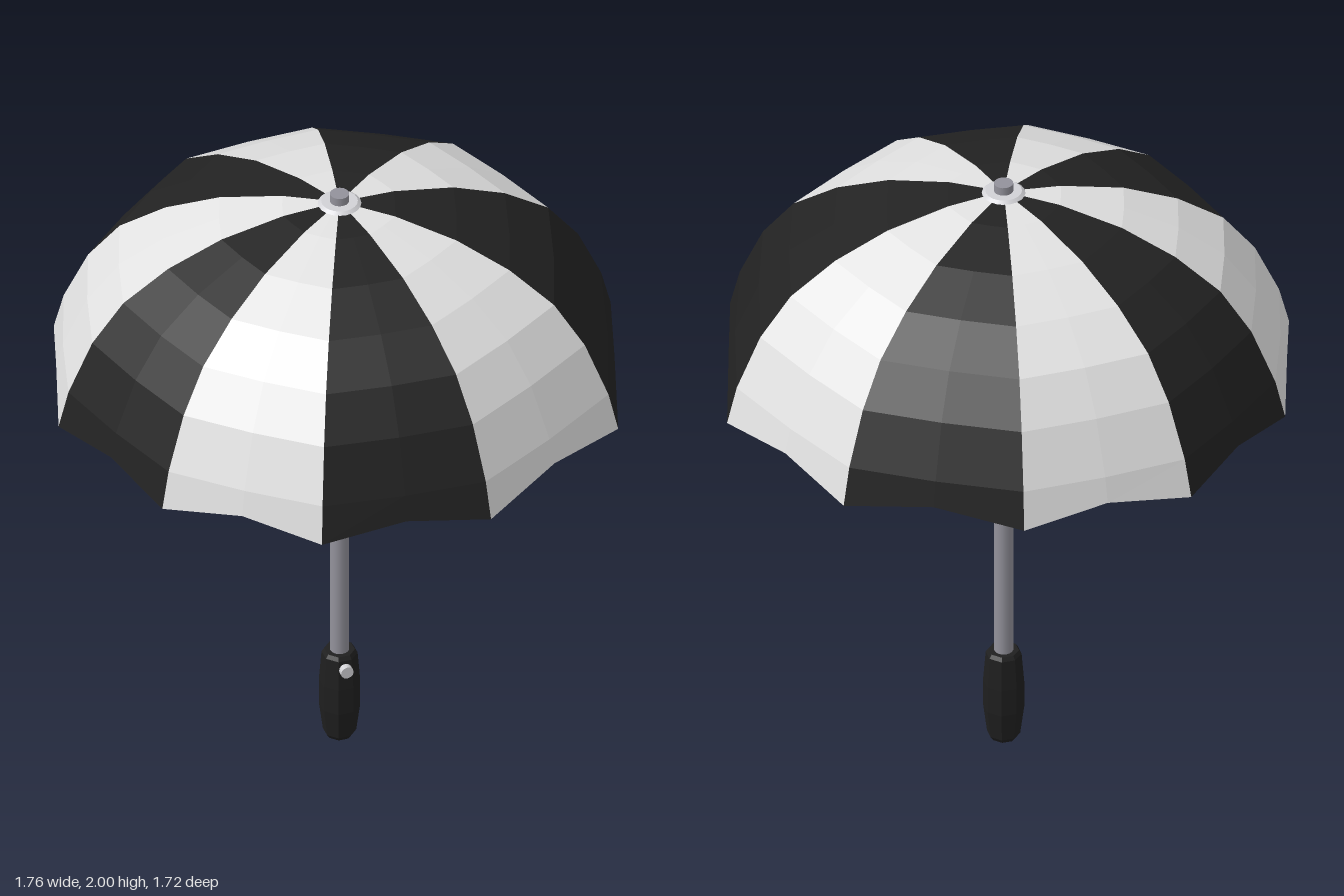
import * as THREE from 'three';

const mat = (name, color, opts = {}) => {
  const m = new THREE.MeshStandardMaterial({ color, ...opts });
  m.name = name;
  return m;
};

// Rim corners (x, z), one per rib, clockwise seen from above
const RIM = [
  [-0.34, -0.83], [0.19, -0.86], [0.67, -0.58], [0.88, -0.06], [0.69, 0.55],
  [0.18, 0.855], [-0.34, 0.81], [-0.73, 0.48], [-0.885, -0.015], [-0.73, -0.5],
];

// Rib profile: radius as a share of the rim radius, height
const PROFILE = [
  [0.07, 1.965], [0.2, 1.957], [0.42, 1.915], [0.61, 1.845],
  [0.77, 1.75], [0.88, 1.625], [0.965, 1.46], [1, 1.34],
];

// One fabric panel between two ribs, two strips wide, with an arched hem
function panelGeometry(a, b) {
  const mid = [(a[0] + b[0]) / 2, (a[1] + b[1]) / 2];
  const last = PROFILE.length - 1;
  const point = (col, row) => {
    const [s, y] = PROFILE[row];
    const p = [a, mid, b][col];
    const hem = col === 1 && row === last;
    const k = col === 1 && !hem ? s * 1.012 : s;
    return [p[0] * k, hem ? y + 0.04 : y, p[1] * k];
  };
  const pos = [];
  for (let c = 0; c < 2; c++) {
    for (let r = 0; r < last; r++) {
      const p = point(c, r), q = point(c + 1, r);
      const s = point(c + 1, r + 1), t = point(c, r + 1);
      pos.push(...p, ...q, ...s, ...p, ...s, ...t);
    }
  }
  const g = new THREE.BufferGeometry();
  g.setAttribute('position', new THREE.Float32BufferAttribute(pos, 3));
  g.computeVertexNormals();
  return g;
}

export function createModel() {
  const model = new THREE.Group();
  model.name = 'umbrella';

  const fabric = { flatShading: true, side: THREE.DoubleSide };
  const white = mat('white fabric', 0xe2e2e2, fabric);
  const black = mat('black fabric', 0x222222, fabric);
  const metal = mat('shaft metal', 0x93929b);
  const light = mat('light grey plastic', 0xd2d2d6);
  const grip = mat('black grip', 0x1f1f1f, { flatShading: true });

  const add = (name, geometry, material, parent = model) => {
    const mesh = new THREE.Mesh(geometry, material);
    mesh.name = name;
    parent.add(mesh);
    return mesh;
  };

  // Canopy: ten alternating panels
  const canopy = new THREE.Group();
  canopy.name = 'canopy';
  model.add(canopy);
  RIM.forEach((a, i) => {
    const b = RIM[(i + 1) % RIM.length];
    add(`panel${i + 1}`, panelGeometry(a, b), i % 2 ? black : white, canopy);
  });

  // Cap disc where the shaft passes through the fabric
  add('capDisc', new THREE.CylinderGeometry(0.055, 0.07, 0.012, 20), light).position.y = 1.967;

  // Shaft from inside the grip to the tip
  add('shaft', new THREE.CylinderGeometry(0.029, 0.029, 1.75, 16), metal).position.y = 1.125;

  // Eight-sided grip, widest at mid height, with chamfered ends
  const gripProfile = [
    [0, 0], [0.04, 0], [0.05, 0.015], [0.062, 0.11], [0.062, 0.2], [0.054, 0.3], [0.046, 0.312], [0, 0.312],
  ].map(([r, y]) => new THREE.Vector2(r, y));
  add('handle', new THREE.LatheGeometry(gripProfile, 8, Math.PI / 8), grip);

  // Release button on the front of the grip
  const button = add('releaseButton', new THREE.CylinderGeometry(0.02, 0.02, 0.03, 12), light);
  button.rotation.x = Math.PI / 2;
  button.position.set(0, 0.27, 0.056);

  return model;
}
